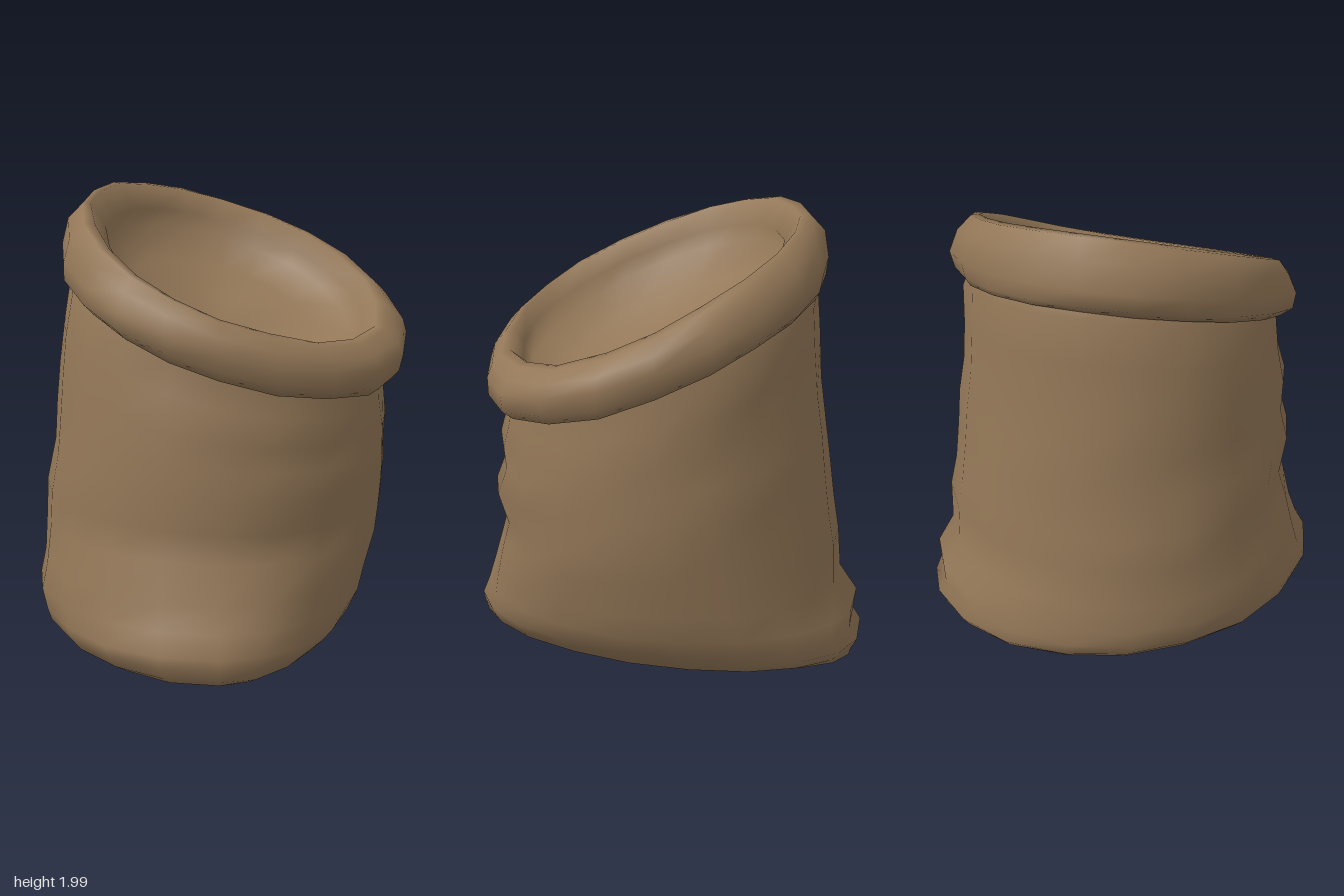
import * as THREE from 'three';

const SIDES = 20;
const SLOPE_X = -0.36, SLOPE_Z = -0.31; // slant of the open mouth

// small repeatable irregularity for the cloth
const wobble = (i, j, amount) => amount * Math.sin(j * 2.4 + i * 1.3) * Math.cos(j * 1.1 - i * 0.7);

// ring: [height, slant 0..1, xMin, xMax, zMin, zMax]
// bulge widens the ring on its left and lifts it slightly at the back left
function ringPoint([h, slant, x0, x1, z0, z1], i, j, amount, bulge) {
  const t = (j / SIDES) * Math.PI * 2;
  const c = Math.cos(t), s = Math.sin(t);
  const k = 1 + wobble(i, j, amount) + bulge * Math.max(0, Math.cos(t - 0.2)) ** 2;
  const x = (c > 0 ? c * x1 : -c * x0) * k;
  const z = (s > 0 ? s * z1 : -s * z0) * k;
  const lift = 0.5 * bulge * Math.max(0, Math.cos(t + 0.7)) ** 3;
  return [x, Math.max(0, h + lift + slant * (SLOPE_X * x + SLOPE_Z * z)), z];
}

// skin a stack of rings; optionally close the last one with a fan to a centre height
function loft(rings, amount, bulge = 0, centre = null) {
  const pos = [], idx = [];
  rings.forEach((r, i) => {
    for (let j = 0; j < SIDES; j++) pos.push(...ringPoint(r, i, j, amount, bulge));
  });
  for (let i = 0; i < rings.length - 1; i++) {
    for (let j = 0; j < SIDES; j++) {
      const n = (j + 1) % SIDES;
      const a = i * SIDES + j, b = i * SIDES + n;
      idx.push(a, a + SIDES, b, b, a + SIDES, b + SIDES);
    }
  }
  if (centre !== null) {
    const start = (rings.length - 1) * SIDES, c = rings.length * SIDES;
    pos.push(0, centre, 0);
    for (let j = 0; j < SIDES; j++) idx.push(c, start + (j + 1) % SIDES, start + j);
  }
  const g = new THREE.BufferGeometry();
  g.setAttribute('position', new THREE.Float32BufferAttribute(pos, 3));
  g.setIndex(idx);
  g.computeVertexNormals();
  return g;
}

export function createModel() {
  const group = new THREE.Group();
  group.name = 'openSack';
  const burlap = new THREE.MeshStandardMaterial({ color: 0x937757, side: THREE.DoubleSide });
  burlap.name = 'brown burlap';
  const add = (name, geometry) => {
    const m = new THREE.Mesh(geometry, burlap);
    m.name = name;
    group.add(m);
  };

  // outer cloth: slumped foot, creased front, slanted neck
  const foot = [0, 0, -0.66, 0.37, -0.87, 0.86];
  add('sackBody', loft([
    foot,
    [0.03, 0, -0.74, 0.49, -0.88, 0.9],
    [0.08, 0, -0.79, 0.55, -0.915, 0.91],
    [0.13, 0, -0.81, 0.6, -0.875, 0.92],
    [0.22, 0, -0.83, 0.65, -0.88, 0.87],
    [0.33, 0, -0.81, 0.68, -0.8, 0.83],
    [0.5, 0.05, -0.795, 0.72, -0.79, 0.78],
    [0.63, 0.12, -0.785, 0.735, -0.76, 0.74],
    [0.8, 0.2, -0.75, 0.75, -0.74, 0.79],
    [0.95, 0.3, -0.74, 0.75, -0.72, 0.74],
    [1.1, 0.45, -0.72, 0.75, -0.69, 0.76],
    [1.26, 0.6, -0.7, 0.74, -0.68, 0.72],
    [1.42, 0.75, -0.67, 0.73, -0.67, 0.7],
    [1.52, 0.75, -0.61, 0.72, -0.63, 0.69],
  ], 0.008));

  // flat underside
  const base = [0, 0, 0], baseIdx = [];
  for (let j = 0; j < SIDES; j++) {
    base.push(...ringPoint(foot, 0, j, 0.008, 0));
    baseIdx.push(0, 1 + j, 1 + (j + 1) % SIDES);
  }
  const baseGeo = new THREE.BufferGeometry();
  baseGeo.setAttribute('position', new THREE.Float32BufferAttribute(base, 3));
  baseGeo.setIndex(baseIdx);
  baseGeo.computeVertexNormals();
  add('sackBase', baseGeo);

  // cuff rolled outward around the mouth, then the shallow hollow that follows its slant
  add('rolledRim', loft([
    [1.5, 0.78, -0.61, 0.67, -0.63, 0.66],
    [1.435, 0.8, -0.66, 0.73, -0.67, 0.74],
    [1.475, 0.76, -0.7, 0.77, -0.7, 0.78],
    [1.55, 0.75, -0.705, 0.775, -0.71, 0.79],
    [1.64, 0.87, -0.67, 0.755, -0.68, 0.765],
    [1.705, 0.97, -0.61, 0.7, -0.62, 0.72],
    [1.71, 1, -0.57, 0.65, -0.58, 0.69],
    [1.63, 1, -0.5, 0.59, -0.51, 0.64],
    [1.54, 1, -0.53, 0.55, -0.55, 0.6],
    [1.44, 1, -0.4, 0.39, -0.42, 0.43],
    [1.39, 1, -0.2, 0.2, -0.21, 0.22],
  ], 0.016, 0.08, 1.37));

  return group;
}
